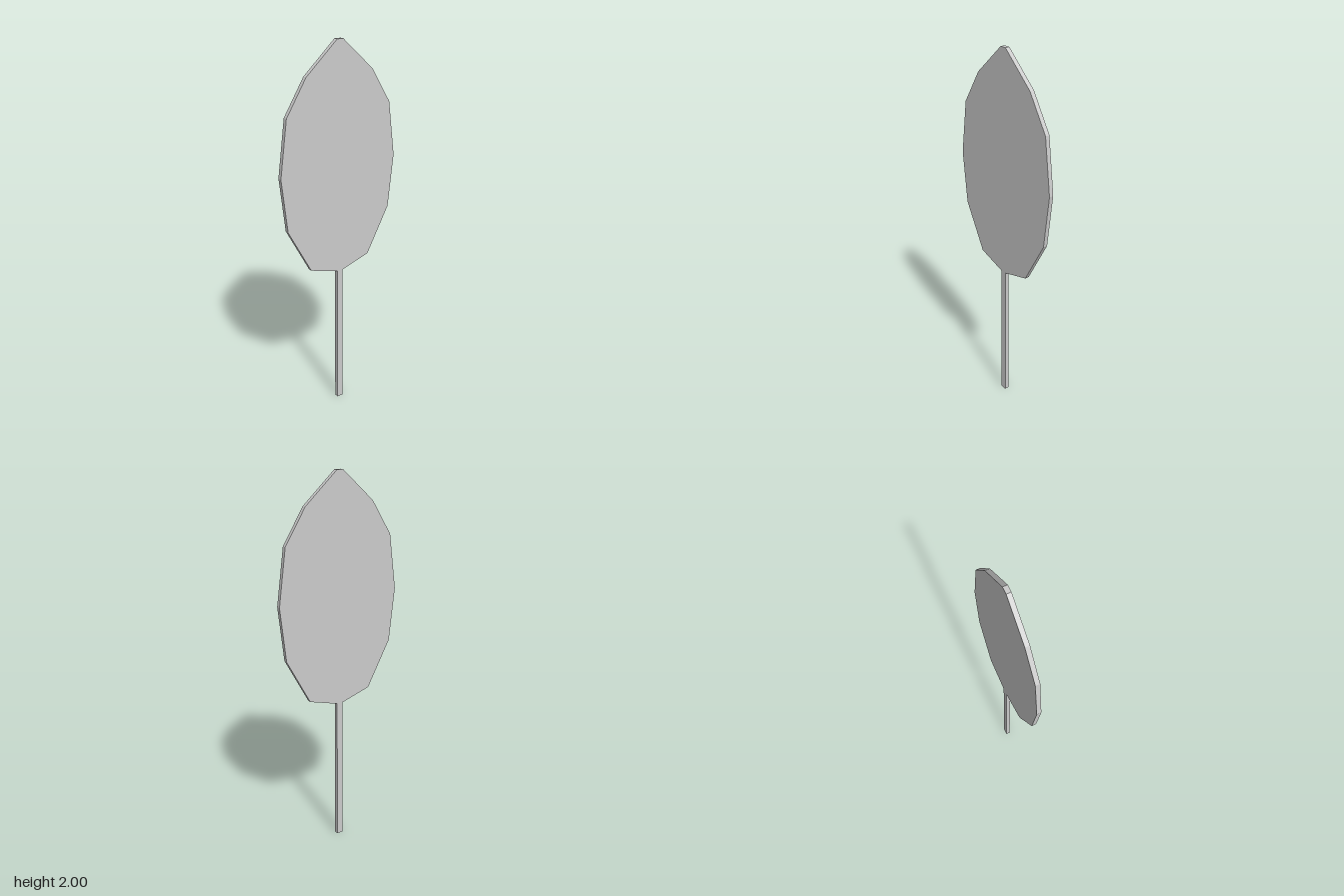
import * as THREE from 'three';

const THICKNESS = 0.023;
const STEM_WIDTH = 0.034;
const BLADE_BASE = 0.81;

export function createModel() {
  const model = new THREE.Group();
  const material = new THREE.MeshStandardMaterial({ color: 0xcccccc, flatShading: true });

  // Leaf blade: one half of the outline, mirrored, given a thin even depth
  const half = [
    [STEM_WIDTH / 2, BLADE_BASE], [0.18, 0.86], [0.31, 1.105], [0.34, 1.385],
    [0.30, 1.67], [0.19, 1.845], [STEM_WIDTH / 2, 2],
  ];
  const mirrored = half.map(([x, y]) => [-x, y]).reverse();
  const outline = new THREE.Shape([...half, ...mirrored].map(([x, y]) => new THREE.Vector2(x, y)));
  const bladeGeometry = new THREE.ExtrudeGeometry(outline, { depth: THICKNESS, bevelEnabled: false });
  bladeGeometry.translate(0, 0, -THICKNESS / 2);
  const blade = new THREE.Mesh(bladeGeometry, material);
  blade.name = 'leafBlade';
  model.add(blade);

  // Straight square-cut stem below the blade
  const stem = new THREE.Mesh(new THREE.BoxGeometry(STEM_WIDTH, BLADE_BASE, THICKNESS), material);
  stem.position.y = BLADE_BASE / 2;
  stem.name = 'stem';
  model.add(stem);

  return model;
}
